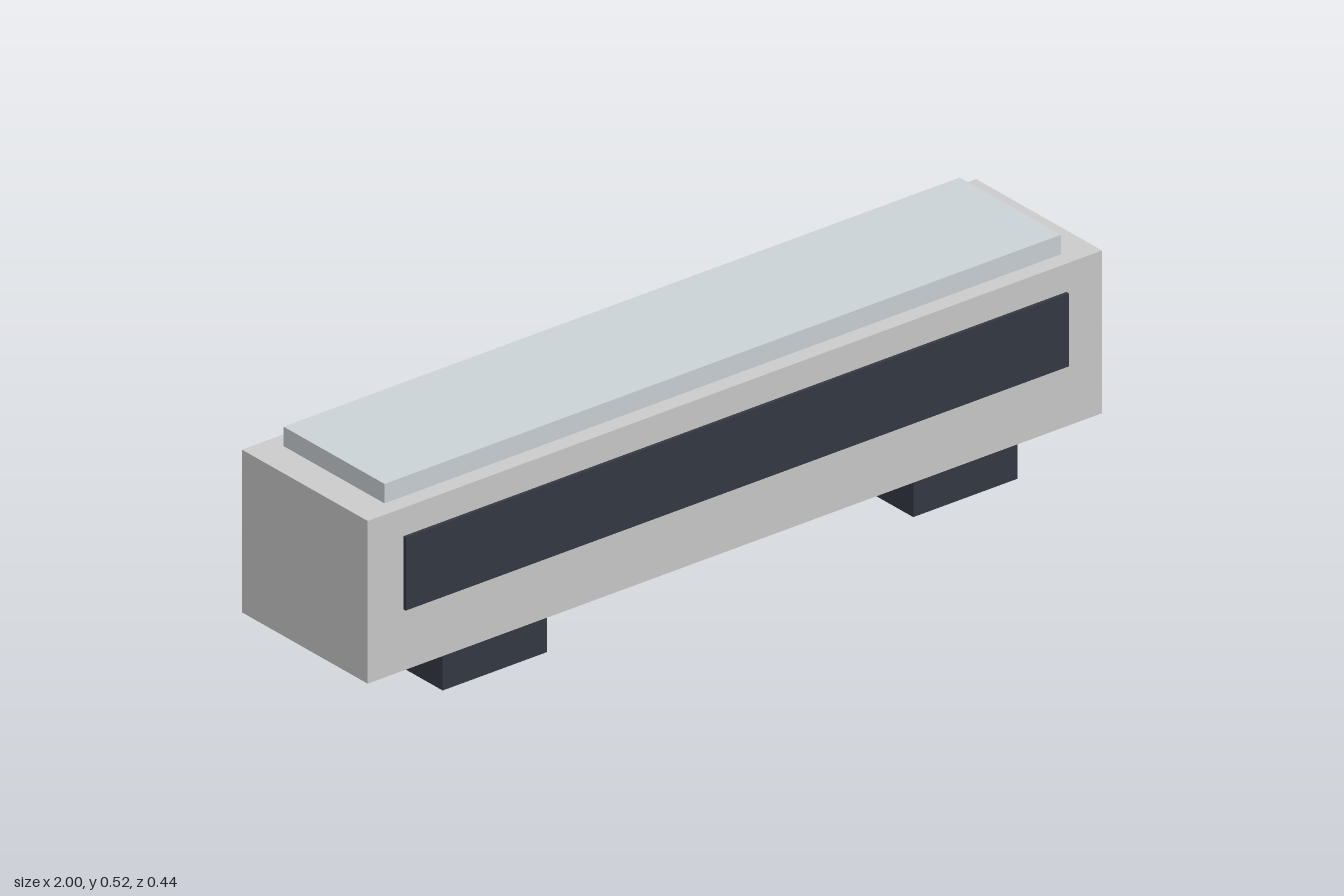
import * as THREE from 'three';

export function createModel() {
  const model = new THREE.Group();
  const grey = new THREE.MeshStandardMaterial({ color: 0xcccccc, flatShading: true });
  const pale = new THREE.MeshStandardMaterial({ color: 0xccd3d7, flatShading: true });
  const dark = new THREE.MeshStandardMaterial({ color: 0x343944, flatShading: true });

  // Box given by its extents along each axis
  function box(name, material, [x0, x1], [y0, y1], [z0, z1]) {
    const mesh = new THREE.Mesh(new THREE.BoxGeometry(x1 - x0, y1 - y0, z1 - z0), material);
    mesh.position.set((x0 + x1) / 2, (y0 + y1) / 2, (z0 + z1) / 2);
    mesh.name = name;
    model.add(mesh);
  }

  const mid = -0.0075; // centre of the body along its length
  const around = (centre, half) => [centre - half, centre + half];

  // Carriage body and raised roof
  box('body', grey, [-1, 0.985], [0.092, 0.477], [-0.21, 0.212]);
  box('roof', pale, around(mid, 0.914), [0.477, 0.523], [-0.168, 0.171]);

  // Window bands on both long sides
  box('frontWindowBand', dark, around(mid, 0.896), [0.237, 0.41], [0.205, 0.22]);
  box('backWindowBand', dark, around(mid, 0.896), [0.237, 0.41], [-0.2175, -0.205]);

  // Windscreen at the driving end
  box('windscreen', dark, [0.98, 1], [0.266, 0.457], [-0.176, 0.179]);

  // Doors on the back side and bogies underneath
  for (const [side, sign] of [['right', -1], ['left', 1]]) {
    box(side + 'Door', dark, around(mid + sign * 0.271, 0.083), [0.092, 0.457], [-0.22, -0.205]);
    box(side + 'Bogie', dark, around(mid + sign * 0.636, 0.141), [0, 0.092], [-0.193, 0.196]);
  }

  return model;
}
